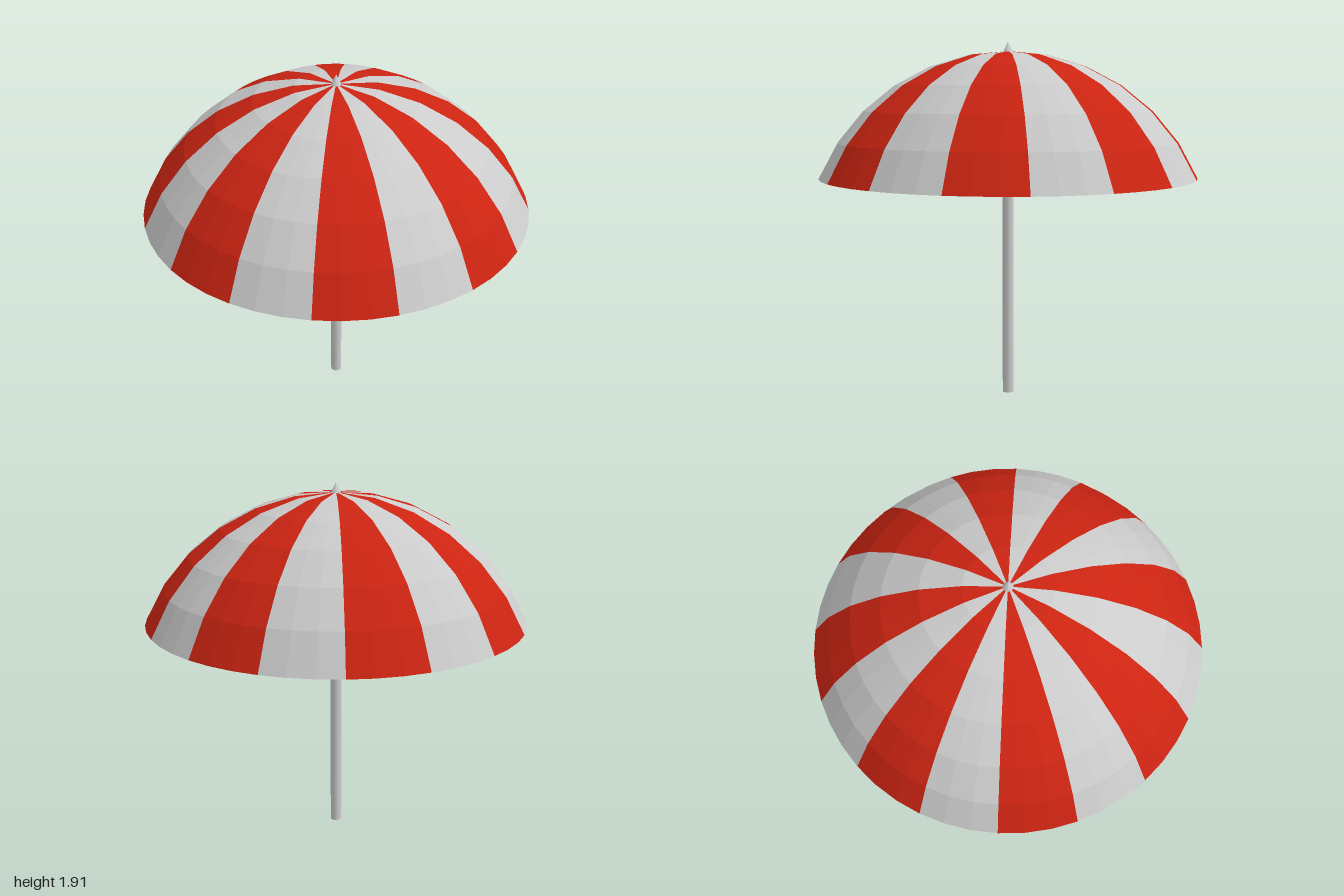
import * as THREE from 'three';

const PANELS = 16, RINGS = 6;
const RIM_Y = 1.2, TOP_Y = 1.86;

export function createModel() {
  const model = new THREE.Group();
  model.name = 'parasol';

  const grey = new THREE.MeshStandardMaterial({ color: 0xcccccc });
  const greyCloth = new THREE.MeshStandardMaterial({ color: 0xcccccc, flatShading: true, side: THREE.DoubleSide });
  const redCloth = new THREE.MeshStandardMaterial({ color: 0xcc2412, flatShading: true, side: THREE.DoubleSide });

  // Canopy: spherical cap of rim radius 1, cut into alternating panels
  const rise = TOP_Y - RIM_Y;
  const radius = (1 + rise * rise) / (2 * rise);
  const capAngle = Math.asin(1 / radius);
  const step = (Math.PI * 2) / PANELS;
  const panel = new THREE.SphereGeometry(radius, 1, RINGS, Math.PI / 2, step, 0, capAngle);
  const canopy = new THREE.Group();
  canopy.name = 'canopy';
  canopy.position.y = TOP_Y - radius;
  for (let i = 0; i < PANELS; i++) {
    const red = i % 2 === 0;
    const mesh = new THREE.Mesh(panel, red ? redCloth : greyCloth);
    mesh.name = red ? 'redPanel' : 'greyPanel';
    mesh.rotation.y = i * step;
    canopy.add(mesh);
  }
  model.add(canopy);

  // Pole from the ground to the crown
  const pole = new THREE.Mesh(new THREE.CylinderGeometry(0.03, 0.03, TOP_Y - 0.01, 12), grey);
  pole.name = 'pole';
  pole.position.y = (TOP_Y - 0.01) / 2;
  model.add(pole);

  // Pointed finial
  const finial = new THREE.Mesh(new THREE.ConeGeometry(0.03, 0.06, 8), grey);
  finial.name = 'finial';
  finial.position.y = 1.88;
  model.add(finial);

  return model;
}
